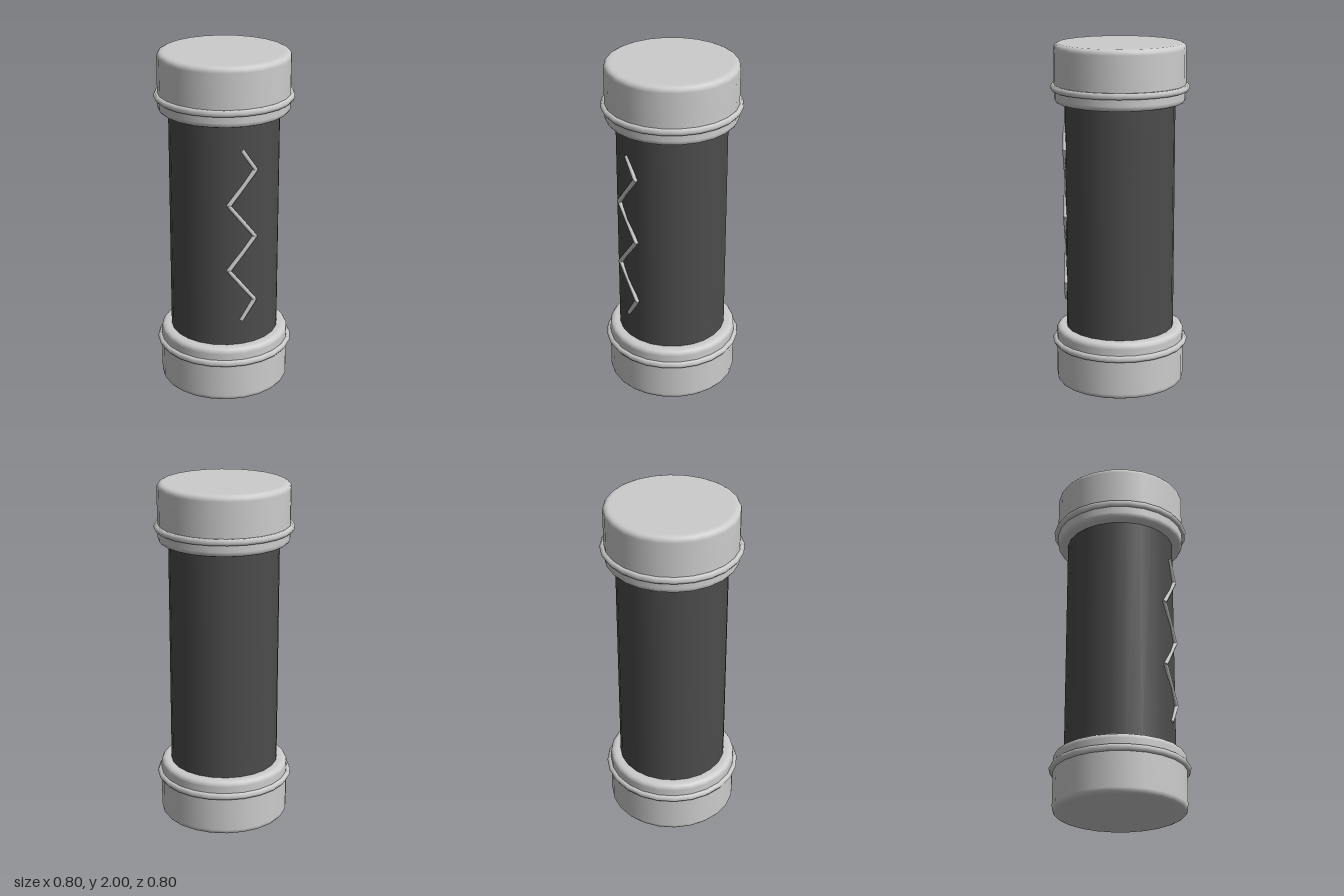
import * as THREE from 'three';

const SIDES = 24;

export function createModel() {
  const model = new THREE.Group();
  const metal = new THREE.MeshStandardMaterial({ color: 0xcccccc });
  metal.name = 'light grey metal';
  const casing = new THREE.MeshStandardMaterial({ color: 0x4c4c4c });
  casing.name = 'dark grey casing';

  const add = (name, geometry, material, parent = model) => {
    const mesh = new THREE.Mesh(geometry, material);
    mesh.name = name;
    parent.add(mesh);
    return mesh;
  };

  // Dark cylindrical body between the caps
  add('body', new THREE.CylinderGeometry(0.315, 0.315, 1.5, SIDES, 1, true), casing).position.y = 1;

  // End caps with softly rounded rims, each with a thin raised band
  const h = 0.338;
  const profile = [
    [0, 0], [0.335, 0], [0.352, 0.001], [0.365, 0.007], [0.373, 0.018], [0.375, 0.032],
    [0.375, h - 0.032], [0.373, h - 0.018], [0.365, h - 0.007], [0.352, h - 0.001], [0.335, h], [0, h],
  ].map(([x, y]) => new THREE.Vector2(x, y));
  for (const [name, top] of [['bottom', false], ['top', true]]) {
    const end = new THREE.Group();
    end.name = name + 'End';
    add(name + 'Cap', new THREE.LatheGeometry(profile, SIDES), metal, end);
    const band = new THREE.TorusGeometry(0.378, 0.02, 6, SIDES).rotateX(Math.PI / 2);
    add(name + 'Band', band, metal, end).position.y = 0.25;
    if (top) {
      end.rotation.x = Math.PI;
      end.position.y = 2;
    }
    model.add(end);
  }

  // Zigzag of thin rods on the front
  const zigzag = new THREE.Group();
  zigzag.name = 'zigzag';
  const points = [[0, 1.515], [0.078, 1.4], [-0.078, 1.203], [0.078, 1.005], [-0.078, 0.81], [0.078, 0.613], [0, 0.495]]
    .map(([x, y]) => new THREE.Vector3(x, y, 0.313));
  const up = new THREE.Vector3(0, 1, 0);
  for (let i = 0; i < points.length - 1; i++) {
    const dir = points[i].clone().sub(points[i + 1]);
    const rod = add('zigzagRod', new THREE.CylinderGeometry(0.013, 0.013, dir.length() + 0.012, 6), metal, zigzag);
    rod.position.copy(points[i]).add(points[i + 1]).multiplyScalar(0.5);
    rod.quaternion.setFromUnitVectors(up, dir.normalize());
  }
  model.add(zigzag);

  return model;
}
